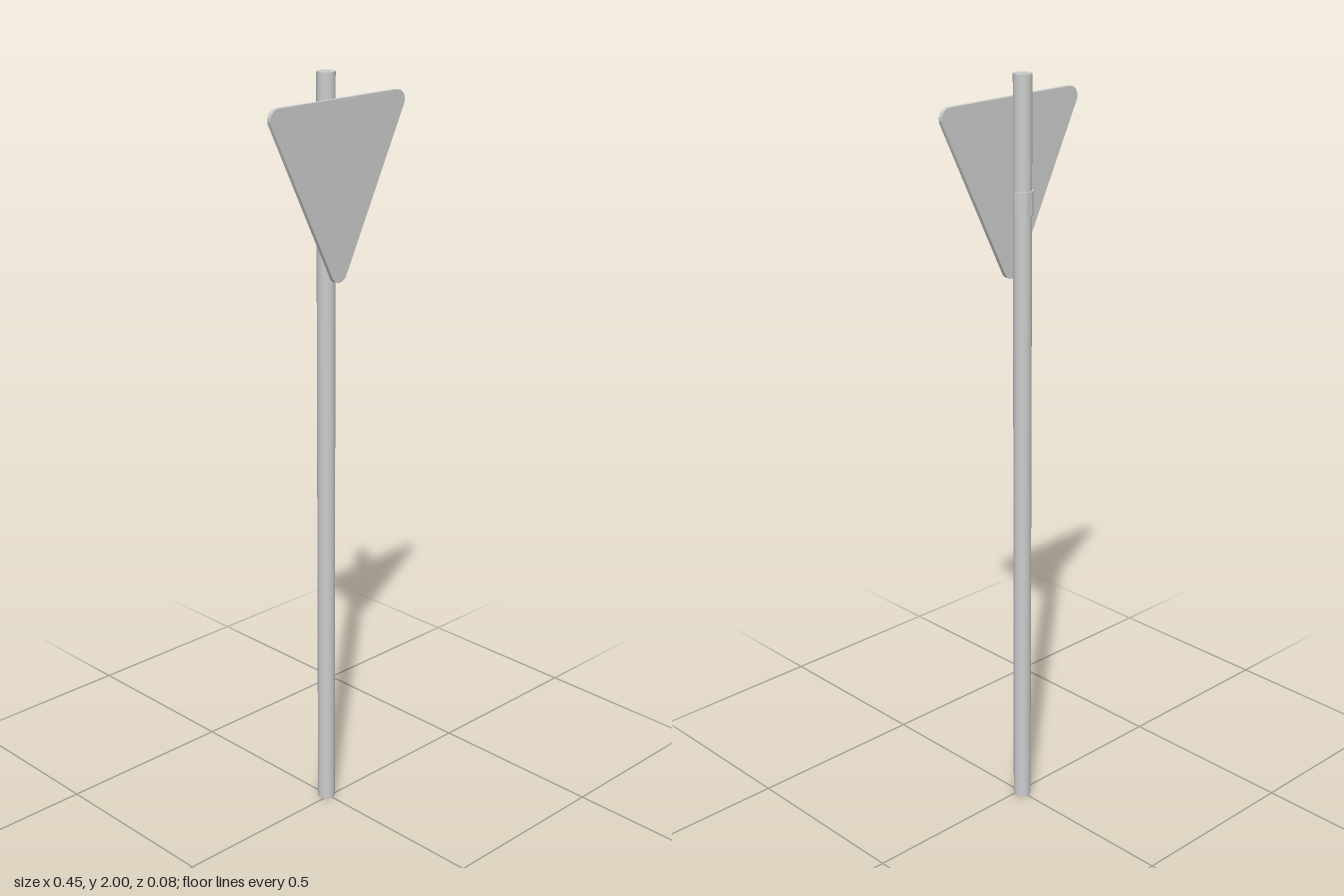
import * as THREE from 'three';
import { toCreasedNormals } from 'three/addons/utils/BufferGeometryUtils.js';

const POLE_Z = -0.011;
const PLATE_BACK = 0.026;

export function createModel() {
  const model = new THREE.Group();
  model.name = 'triangularRoadSign';
  const material = new THREE.MeshStandardMaterial({ color: 0xcccccc });

  const add = (name, geometry, x, y, z) => {
    const mesh = new THREE.Mesh(geometry, material);
    mesh.name = name;
    mesh.position.set(x, y, z);
    model.add(mesh);
    return mesh;
  };
  const extrude = (shape, depth) => toCreasedNormals(
    new THREE.ExtrudeGeometry(shape, { depth, bevelEnabled: false, curveSegments: 16 }), 0.6);

  // Upright pole
  add('pole', new THREE.CylinderGeometry(0.0235, 0.0235, 2, 32), 0, 1, POLE_Z);

  // Downward-pointing triangular plate: three corner arcs joined by straight edges
  const r = 0.0265, halfWidth = 0.2, topY = 1.913, bottomY = 1.512;
  const tilt = Math.atan2(halfWidth, topY - bottomY);
  const plate = new THREE.Shape();
  plate.absarc(0, bottomY, r, Math.PI + tilt, 2 * Math.PI - tilt);
  plate.absarc(halfWidth, topY, r, -tilt, Math.PI / 2);
  plate.absarc(-halfWidth, topY, r, Math.PI / 2, Math.PI + tilt);
  plate.closePath();
  add('signPlate', extrude(plate, 0.011), 0, 0, PLATE_BACK);

  // Clamp: round behind the pole, flat against the plate
  const clampRadius = 0.027;
  const clamp = new THREE.Shape();
  clamp.moveTo(clampRadius, -PLATE_BACK);
  clamp.absarc(0, -POLE_Z, clampRadius, 0, Math.PI);
  clamp.lineTo(-clampRadius, -PLATE_BACK);
  clamp.closePath();
  add('clamp', extrude(clamp, 0.061), 0, 1.655, 0).rotation.x = -Math.PI / 2;

  return model;
}
